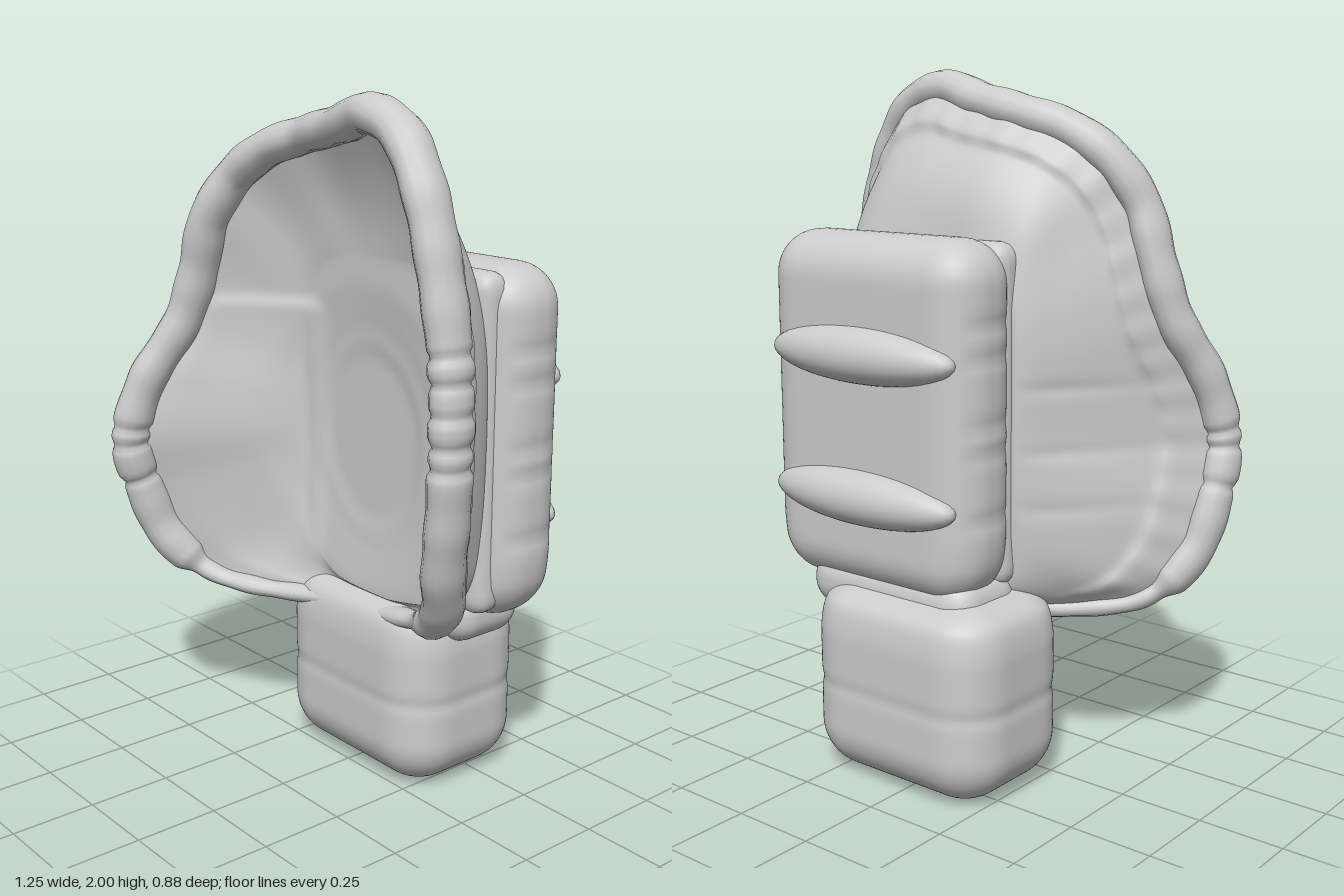
import * as THREE from 'three';
import { mergeVertices } from 'three/addons/utils/BufferGeometryUtils.js';

const { smoothstep, lerp, clamp } = THREE.MathUtils;

// Moves every vertex by a rule, then smooths the normals
function reshape(geometry, rule) {
  const p = geometry.attributes.position, v = new THREE.Vector3();
  for (let i = 0; i < p.count; i++) {
    v.fromBufferAttribute(p, i);
    rule(v, i);
    p.setXYZ(i, v.x, v.y, v.z);
  }
  geometry.deleteAttribute('uv');
  geometry.deleteAttribute('normal');
  const merged = mergeVertices(geometry, 1e-5);
  merged.computeVertexNormals();
  return merged;
}

// Rounded box given by its limits, with an extra rule for dents and seams
function softBox(min, max, radius, rule = () => {}) {
  const size = max.map((m, i) => m - min[i]);
  const centre = new THREE.Vector3(...max.map((m, i) => (m + min[i]) / 2));
  const inner = new THREE.Vector3(...size.map((s) => s / 2 - radius));
  const q = new THREE.Vector3();
  return reshape(new THREE.BoxGeometry(...size, 30, 44, 24), (v) => {
    q.copy(v).clamp(inner.clone().negate(), inner);
    v.sub(q).setLength(radius).add(q).add(centre);
    rule(v);
  });
}

// Bump of height 1 around a value
const bump = (value, at, width) => Math.exp(-(((value - at) / width) ** 2));

// Centre line of the padded rim, clockwise from the top
const rim = new THREE.CatmullRomCurve3([
  [0.22, 1.945, 0.11], [0.36, 1.9, 0.125], [0.46, 1.77, 0.14], [0.52, 1.58, 0.14],
  [0.56, 1.35, 0.135], [0.567, 1.15, 0.135], [0.55, 0.95, 0.125], [0.51, 0.77, 0.1],
  [0.46, 0.65, 0.05], [0.38, 0.575, 0.01], [0.2, 0.525, -0.02], [0, 0.505, -0.02],
  [-0.18, 0.487, 0.01], [-0.33, 0.492, 0.1], [-0.45, 0.525, 0.18], [-0.54, 0.65, 0.28],
  [-0.568, 0.8, 0.335], [-0.568, 0.96, 0.38], [-0.54, 1.14, 0.335], [-0.485, 1.32, 0.235],
  [-0.445, 1.48, 0.2], [-0.4, 1.63, 0.19], [-0.33, 1.755, 0.14], [-0.22, 1.832, 0.105],
  [-0.1, 1.872, 0.07], [0.08, 1.91, 0.085],
].map((p) => new THREE.Vector3(...p)), true);

// Dish from a flat floor out to the rim; detail(v, s, t) moves it in z, s runs up the wall
function dish(floorZ, detail) {
  const around = 240, floorRings = 20, wallRings = 28, rings = floorRings + wallRings;
  const centre = new THREE.Vector3(0.105, 1.05, floorZ);
  const positions = [], index = [];
  for (let i = 0; i < around; i++) {
    const edge = rim.getPointAt(i / around);
    const dx = edge.x - centre.x, dy = edge.y - centre.y;
    // rounded rectangle of the floor, kept inside the rim
    const reach = Math.min(0.92, ((Math.abs(dx) / 0.32) ** 4 + (Math.abs(dy) / 0.49) ** 4) ** -0.25);
    const foot = new THREE.Vector3(centre.x + dx * reach, centre.y + dy * reach, floorZ);
    for (let j = 0; j <= rings; j++) {
      const s = Math.max(0, (j - floorRings) / wallRings), v = new THREE.Vector3();
      if (j <= floorRings) v.lerpVectors(centre, foot, j / floorRings);
      else v.lerpVectors(foot, edge, s);
      v.z += detail(v, s, i / around);
      positions.push(v.x, v.y, v.z);
    }
  }
  const row = rings + 1;
  for (let i = 0; i < around; i++) {
    for (let j = 0; j < rings; j++) {
      const a = i * row + j, b = ((i + 1) % around) * row + j;
      index.push(a, a + 1, b, b, a + 1, b + 1);
    }
  }
  const g = new THREE.BufferGeometry();
  g.setAttribute('position', new THREE.Float32BufferAttribute(positions, 3));
  g.setIndex(index);
  const merged = mergeVertices(g, 1e-5);
  merged.computeVertexNormals();
  return merged;
}

export function createModel() {
  const model = new THREE.Group();
  const grey = new THREE.MeshStandardMaterial({ color: 0xcccccc, side: THREE.DoubleSide });
  grey.name = 'plain grey';
  const add = (name, geometry) => {
    const mesh = new THREE.Mesh(geometry, grey);
    mesh.name = name;
    model.add(mesh);
    return mesh;
  };

  // Inner lining with stepped oval hollows and a thicker pad on the wing
  add('innerLining', dish(-0.02, (v, s) => {
    const oval = (rx, ry) => Math.hypot((v.x - 0.06) / rx, (v.y - 1.02) / ry);
    const step = (rx, ry) => 1 - smoothstep(oval(rx, ry), 0.85, 1.08);
    const pad = smoothstep(-v.x, 0.12, 0.2) * (1 - smoothstep(v.y, 1.36, 1.41));
    const hollows = step(0.21, 0.27) + step(0.29, 0.36) + step(0.37, 0.43);
    return (0.015 * pad - 0.008 * hollows) * (1 - smoothstep(s, 0.75, 1))
      - 0.022 * Math.sin(Math.PI * s);
  }));

  // Outer shell with level folds across the wing and a gathered band next to the rim
  add('outerShell', dish(-0.13, (v, s, t) => {
    const wing = smoothstep(-v.x, 0.2, 0.3);
    const folds = bump(v.y, 0.8, 0.02) + bump(v.y, 0.96, 0.02) + bump(v.y, 1.14, 0.02);
    const band = smoothstep(s, 0.68, 0.8) * smoothstep(v.y, 0.52, 0.6);
    return 0.01 * wing * folds * (1 - s) - (0.05 - 0.02 * wing) * Math.sin(Math.PI * s)
      - band * (0.028 + 0.003 * Math.sin(t * Math.PI * 2 * 40));
  }));

  // Padded rim, pinched into folds on both sides and thinning to a hem at the bottom
  const segments = 360, sides = 14;
  const tube = new THREE.TubeGeometry(rim, segments, 0.05, sides, true);
  const normals = tube.attributes.normal.clone();
  add('paddedRim', reshape(tube, (v, i) => {
    const n = new THREE.Vector3().fromBufferAttribute(normals, i);
    const t = (Math.floor(i / (sides + 1)) % segments) / segments;
    const c = rim.getPointAt(t);
    let grow = 0.003 + 0.0015 * Math.sin(t * Math.PI * 2 * 31);
    const pinches = c.x > 0 ? [1.08, 1.14, 1.22, 1.3, 1.37] : [0.84, 0.95, 1.0];
    if (Math.abs(c.x) > 0.45) for (const y of pinches) grow -= 0.01 * bump(c.y, y, 0.012);
    grow -= 0.026 * (1 - smoothstep(c.y, 0.54, 0.58));
    v.addScaledVector(n, grow);
    v.z += n.z * 0.012;
  }));

  // Back pack with shallow grooves on its sides
  add('backPack', softBox([-0.22, 0.55, -0.365], [0.525, 1.555, -0.095], 0.125, (v) => {
    const dx = v.x - 0.1525;
    const side = smoothstep(Math.abs(dx), 0.33, 0.37);
    let dent = 0;
    for (const y of [0.8, 0.98, 1.06, 1.24, 1.33]) dent += bump(v.y, y, 0.018);
    v.x -= Math.sign(dx) * 0.007 * dent * side;
    // narrower lower end
    v.x = lerp(v.x, 0.15, 0.06 * (1 - smoothstep(v.y, 0.55, 0.75)));
  }));

  // Thin collar between the pack and the shell
  add('packCollar', softBox([-0.2, 0.58, -0.18], [0.47, 1.54, -0.07], 0.05));

  // Two rounded ribs across the pack
  for (const [name, y] of [['upperRib', 1.23], ['lowerRib', 0.83]]) {
    const rib = add(name, new THREE.SphereGeometry(1, 40, 20));
    rib.scale.set(0.33, 0.08, 0.085);
    rib.position.set(0.15, y, -0.35);
  }

  // Lower block with a seam around it and a hollow underneath
  add('lowerBlock', softBox([-0.3, 0, -0.42], [0.345, 0.57, 0.04], 0.15, (v) => {
    const shrink = 0.014 * bump(v.y, 0.275, 0.02);
    v.x = lerp(v.x, 0.02, shrink);
    v.z = lerp(v.z, -0.19, shrink);
    const hollow = clamp(1 - Math.hypot((v.x - 0.02) / 0.2, (v.z + 0.19) / 0.14), 0, 1);
    if (v.y < 0.1) v.y += 0.1 * hollow;
    // squarer shoulders at the top
    if (v.y > 0.43) v.y = lerp(v.y, 0.57, 0.3 * smoothstep(v.y, 0.43, 0.5));
  }));

  // Neck joining the shell, pack and block
  add('neck', softBox([-0.2, 0.46, -0.34], [0.4, 0.63, -0.07], 0.08));

  return model;
}
